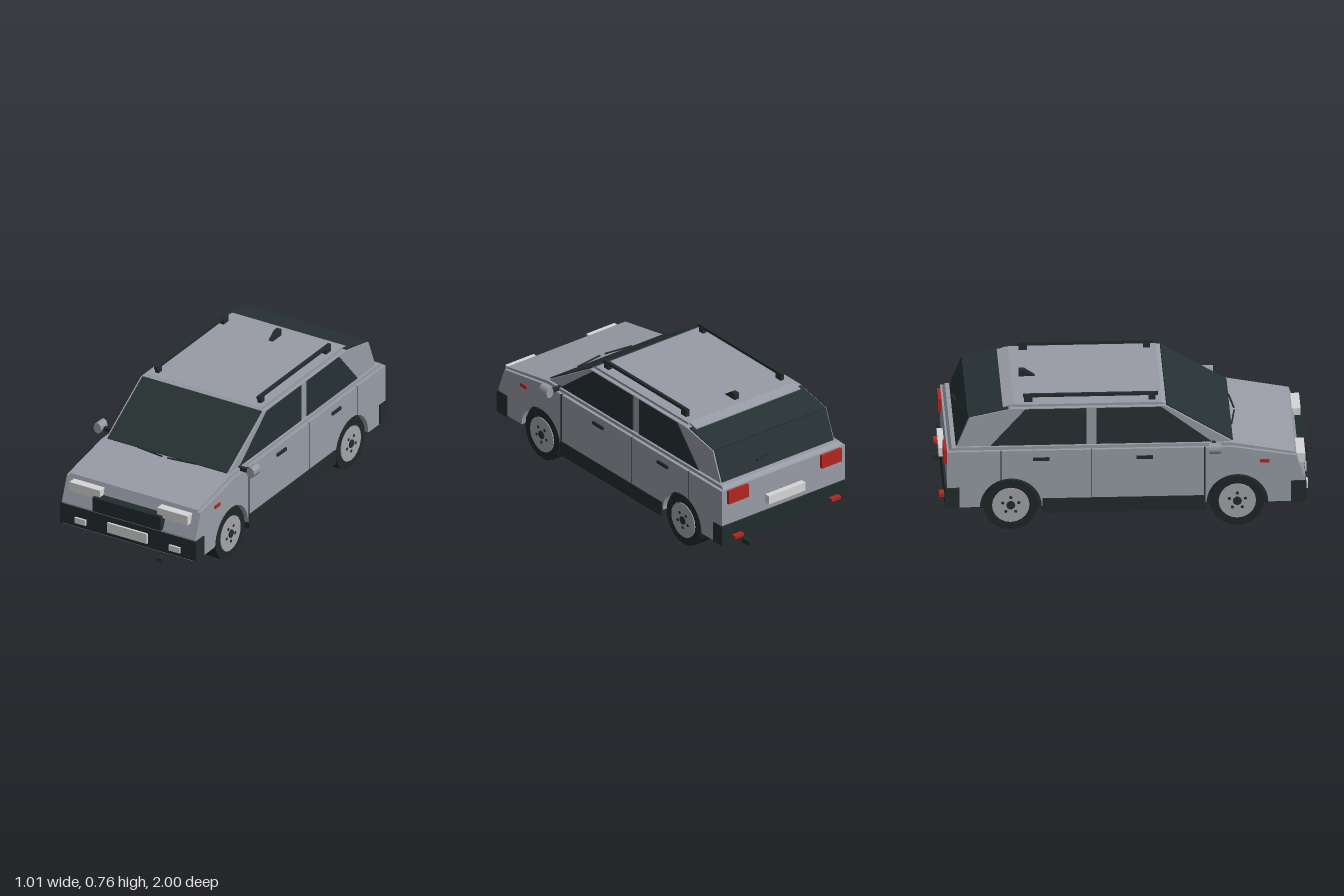
import * as THREE from 'three';

const mat = (name, color) => {
  const m = new THREE.MeshStandardMaterial({ color });
  m.name = name;
  return m;
};

export function createModel() {
  const car = new THREE.Group();
  car.name = 'car';
  const paint = mat('silver paint', 0x989ca6);
  const glass = mat('dark glass', 0x263133);
  const trim = mat('black trim', 0x222c2d);
  const rubber = mat('tyre rubber', 0x1e2727);
  const lamp = mat('clear lamp', 0xd6d6d8);
  const red = mat('red lamp', 0xb3261e);
  const rim = mat('wheel silver', 0xa2a5a9);

  const add = (name, geo, material, parent = car) => {
    const m = new THREE.Mesh(geo, material);
    m.name = name;
    parent.add(m);
    return m;
  };
  // Box given by its limits on each axis
  const box = (name, material, [x0, x1], [y0, y1], [z0, z1]) =>
    add(name, new THREE.BoxGeometry(x1 - x0, y1 - y0, z1 - z0), material)
      .position.set((x0 + x1) / 2, (y0 + y1) / 2, (z0 + z1) / 2);
  const boxPair = (name, material, [x0, x1], y, z) => {
    box(name + 'Left', material, [x0, x1], y, z);
    box(name + 'Right', material, [-x1, -x0], y, z);
  };
  // Side profile in (z, y), extruded across x from x0 to x1
  const across = (name, material, shape, x0, x1) => {
    const s = Array.isArray(shape) ? new THREE.Shape(shape.map(p => new THREE.Vector2(...p))) : shape;
    const g = new THREE.ExtrudeGeometry(s, { depth: x1 - x0, bevelEnabled: false, curveSegments: 10 });
    g.rotateY(-Math.PI / 2).translate(x1, 0, 0);
    return add(name, g, material);
  };
  // Thin plate following a sloped line in the side profile
  const slopedPlate = (name, material, [za, ya], [zb, yb], x0, x1, t = 0.006) => {
    const len = Math.hypot(zb - za, yb - ya), nz = -(yb - ya) / len * t, ny = (zb - za) / len * t;
    return across(name, material, [[za, ya], [zb, yb], [zb + nz, yb + ny], [za + nz, ya + ny]], x0, x1);
  };

  // Lower body with wheel arches
  const axles = [-0.61, 0.6], archR = 0.165, floorY = 0.14;
  const body = new THREE.Shape();
  body.moveTo(-0.95, floorY);
  for (const z of axles) {
    body.lineTo(z - archR, floorY);
    body.absarc(z, floorY, archR, Math.PI, 0, true);
  }
  for (const p of [[0.965, 0.14], [0.965, 0.27], [0.912, 0.41], [0.57, 0.467], [-0.95, 0.467]]) body.lineTo(...p);
  across('lowerBody', paint, body, -0.42, 0.42);
  across('bonnetAndShoulder', paint,
    [[-0.945, 0.46], [0.6, 0.38], [0.925, 0.38], [0.91, 0.422], [0.57, 0.485], [-0.925, 0.485]], -0.402, 0.402);

  // Cabin, roof and spoiler
  across('cabin', paint,
    [[-0.9, 0.48], [0.58, 0.48], [0.22, 0.7], [-0.6, 0.7], [-0.83, 0.652]], -0.387, 0.387);
  across('roofPanel', paint, [[0.225, 0.698], [0.2, 0.714], [-0.59, 0.714], [-0.59, 0.698]].reverse(), -0.363, 0.363);
  across('spoiler', paint, [[-0.65, 0.688], [-0.59, 0.69], [-0.59, 0.714], [-0.65, 0.702]], -0.355, 0.355);

  // Windows
  slopedPlate('windscreen', glass, [0.575, 0.485], [0.222, 0.701], -0.375, 0.375, -0.006);
  slopedPlate('rearGlassUpper', glass, [-0.62, 0.697], [-0.832, 0.652], -0.38, 0.38, -0.005);
  slopedPlate('rearGlassLower', glass, [-0.832, 0.652], [-0.898, 0.487], -0.38, 0.38, -0.005);
  const frontWindow = [[-0.15, 0.487], [0.465, 0.487], [0.195, 0.697], [-0.15, 0.697]];
  const rearWindow = [[-0.715, 0.487], [-0.205, 0.487], [-0.205, 0.697], [-0.53, 0.697]];
  for (const s of [1, -1]) {
    const x0 = s > 0 ? 0.386 : -0.392;
    across('frontSideWindow', glass, frontWindow, x0, x0 + 0.006);
    across('rearSideWindow', glass, rearWindow, x0, x0 + 0.006);
  }

  // Underbody, sills and arch liners
  box('underbody', rubber, [-0.35, 0.35], [0.1, 0.15], [-0.81, 0.81]);
  boxPair('sill', trim, [0.33, 0.425], [0.1, 0.185], [-0.44, 0.43]);
  for (const z of axles) {
    const liner = new THREE.Shape();
    liner.moveTo(z - 0.167, 0.13);
    liner.lineTo(z + 0.167, 0.13);
    liner.absarc(z, floorY, 0.167, 0, Math.PI, false);
    across('archLiner', trim, liner, -0.385, 0.385);
  }

  // Wheels
  for (const s of [1, -1]) for (const z of axles) {
    const wheel = new THREE.Group();
    wheel.name = 'wheel';
    wheel.position.set(s * 0.36, 0.146, z);
    wheel.rotation.z = -s * Math.PI / 2;
    car.add(wheel);
    const disc = (name, material, r, h, y, x = 0, w = 0, n = 20) =>
      add(name, new THREE.CylinderGeometry(r, r, h, n), material, wheel).position.set(x, y, w);
    disc('tyre', rubber, 0.146, 0.1, 0);
    disc('rim', rim, 0.1, 0.01, 0.05);
    disc('hubCap', trim, 0.024, 0.012, 0.054, 0, 0, 10);
    for (let i = 0; i < 5; i++) {
      const a = i / 5 * Math.PI * 2;
      disc('wheelBolt', trim, 0.009, 0.008, 0.054, Math.cos(a) * 0.045, Math.sin(a) * 0.045, 6);
    }
  }

  // Front end
  across('frontBumper', trim,
    [[0.885, 0.135], [0.96, 0.135], [0.972, 0.155], [0.968, 0.262], [0.885, 0.262]], -0.428, 0.428);
  box('grille', trim, [-0.215, 0.215], [0.277, 0.36], [0.93, 0.985]);
  boxPair('headlamp', lamp, [0.18, 0.372], [0.346, 0.4], [0.9, 0.965]);
  boxPair('fogLamp', lamp, [0.262, 0.33], [0.172, 0.205], [0.96, 0.982]);
  box('frontPlate', lamp, [-0.125, 0.125], [0.172, 0.23], [0.965, 0.982]);
  box('towHook', trim, [0.2, 0.23], [0.102, 0.12], [0.97, 1]);

  // Rear end
  box('rearBumper', trim, [-0.428, 0.428], [0.142, 0.257], [-0.962, -0.885]);
  boxPair('tailLamp', red, [0.25, 0.385], [0.385, 0.462], [-0.967, -0.94]);
  boxPair('rearReflector', red, [0.3, 0.36], [0.174, 0.192], [-0.99, -0.96]);
  box('rearPlate', lamp, [-0.125, 0.125], [0.302, 0.352], [-0.982, -0.945]);
  box('exhaust', trim, [0.245, 0.275], [0.106, 0.134], [-1, -0.94]);

  // Side details: door gaps, handles, markers, mirrors
  boxPair('frontDoorGap', trim, [0.41, 0.422], [0.18, 0.468], [0.421, 0.429]);
  boxPair('middleDoorGap', trim, [0.41, 0.4215], [0.18, 0.468], [-0.18, -0.177]);
  boxPair('rearDoorGap', trim, [0.41, 0.4215], [0.29, 0.468], [-0.664, -0.661]);
  boxPair('frontHandle', trim, [0.415, 0.43], [0.41, 0.427], [0.06, 0.148]);
  boxPair('rearHandle', trim, [0.415, 0.43], [0.41, 0.427], [-0.492, -0.404]);
  boxPair('sideMarker', red, [0.415, 0.426], [0.373, 0.391], [0.72, 0.772]);
  boxPair('mirrorArm', trim, [0.38, 0.465], [0.468, 0.49], [0.465, 0.485]);
  for (const s of [1, -1]) {
    const g = new THREE.CylinderGeometry(0.033, 0.033, 0.046, 8).rotateY(Math.PI / 8).rotateX(Math.PI / 2);
    g.rotateZ(Math.PI / 8).scale(0.74, 0.98, 1.4);
    add('mirror', g, paint).position.set(s * 0.481, 0.489, 0.478);
  }

  // Roof rails, aerial fin and wipers
  boxPair('roofRail', trim, [0.313, 0.331], [0.74, 0.756], [-0.54, 0.18]);
  boxPair('railFrontFoot', trim, [0.311, 0.334], [0.7, 0.742], [0.13, 0.166]);
  boxPair('railRearFoot', trim, [0.311, 0.334], [0.7, 0.742], [-0.535, -0.49]);
  across('aerialFin', trim, [[-0.55, 0.712], [-0.46, 0.712], [-0.52, 0.752], [-0.55, 0.752]], -0.014, 0.014);
  for (const s of [1, -1]) {
    const w = add('wiper', new THREE.BoxGeometry(0.17, 0.006, 0.008), trim);
    w.position.set(s * 0.1, 0.491, 0.59);
    w.rotation.y = s * 0.13;
  }
  const rw = add('rearWiper', new THREE.BoxGeometry(0.09, 0.008, 0.012), trim);
  rw.position.set(0.095, 0.542, -0.888);
  rw.rotation.y = 0.2;
  return car;
}
